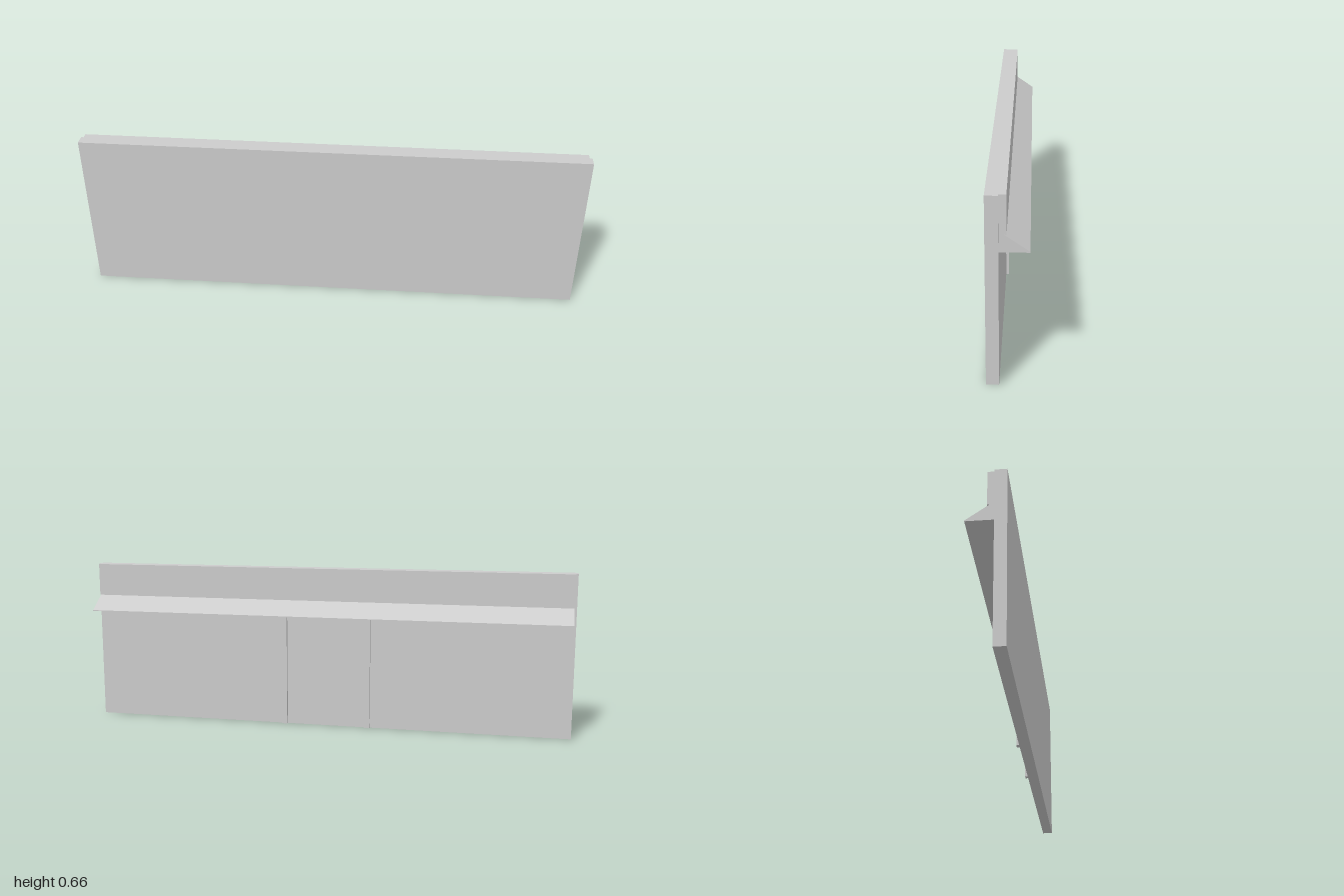
import * as THREE from 'three';

const material = new THREE.MeshStandardMaterial({ color: 0xcccccc, flatShading: true });

// Extrude a [z, y] side profile along x, centred on x = 0
function sideProfile(name, points, length) {
  const shape = new THREE.Shape(points.map(([z, y]) => new THREE.Vector2(-z, y)));
  const geometry = new THREE.ExtrudeGeometry(shape, { depth: length, bevelEnabled: false });
  geometry.translate(0, 0, -length / 2);
  geometry.rotateY(Math.PI / 2);
  const mesh = new THREE.Mesh(geometry, material);
  mesh.name = name;
  return mesh;
}

function box(name, x0, x1, y0, y1, z0, z1) {
  const mesh = new THREE.Mesh(new THREE.BoxGeometry(x1 - x0, y1 - y0, z1 - z0), material);
  mesh.position.set((x0 + x1) / 2, (y0 + y1) / 2, (z0 + z1) / 2);
  mesh.name = name;
  return mesh;
}

export function createModel() {
  const group = new THREE.Group();
  group.name = 'wallPanel';

  // Main slab
  group.add(box('panel', -1, 1, 0, 0.66, 0.028, 0.071));

  // Thicker band along the top of the back, slightly inset at the ends
  group.add(box('topBand', -0.99, 0.99, 0.528, 0.66, 0.003, 0.028));

  // Sloping ledge below the band
  group.add(sideProfile('ledge', [
    [0.028, 0.468], [0.028, 0.528], [0.011, 0.528], [-0.071, 0.471], [-0.071, 0.468],
  ], 1.98));

  // Two slim battens under the ledge
  for (const side of [-1, 1]) {
    const x = side * 0.176;
    group.add(box(side > 0 ? 'leftBatten' : 'rightBatten', x - 0.012, x + 0.012, 0, 0.468, 0.017, 0.028));
  }

  return group;
}
